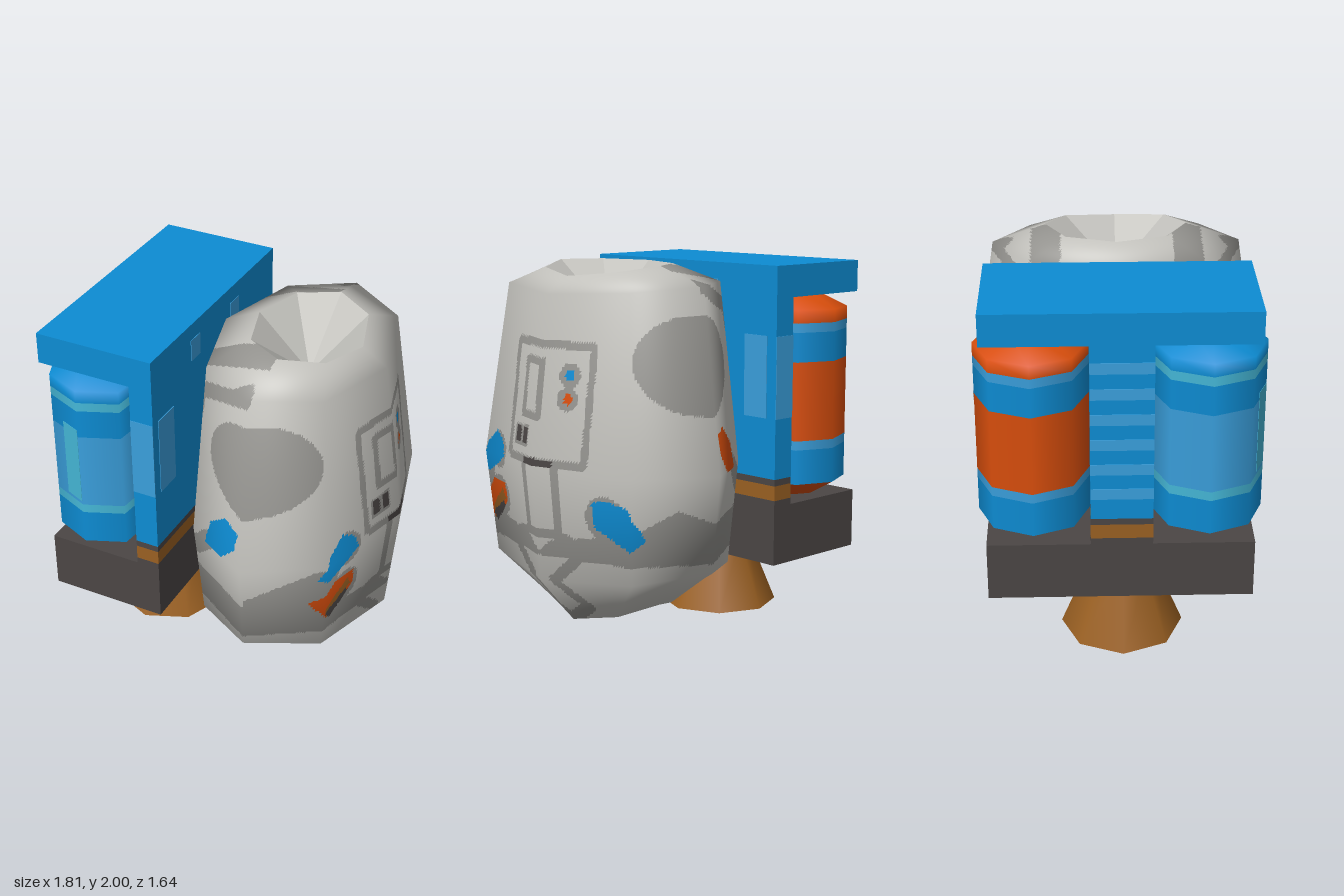
import * as THREE from 'three';

const M = {};
const colours = {
  paleGrey: 0xc2c1bc, grey: 0x94938f, blue: 0x0d8cd3, orange: 0xd94e0c, charcoal: 0x4b4645,
  brown: 0x9a6022, lightBlue: 0x3a9fdc, cyan: 0x45b8d8,
};
for (const [name, color] of Object.entries(colours)) M[name] = new THREE.MeshStandardMaterial({ color, name });
const order = Object.values(M);

function add(parent, name, geo, mat) {
  const m = new THREE.Mesh(geo, mat);
  m.name = name;
  parent.add(m);
  return m;
}
function box(parent, name, mat, x0, x1, y0, y1, z0, z1) {
  const m = add(parent, name, new THREE.BoxGeometry(x1 - x0, y1 - y0, z1 - z0), mat);
  m.position.set((x0 + x1) / 2, (y0 + y1) / 2, (z0 + z1) / 2);
  return m;
}

// Body rings: centre x, radius x, radius z, height at front, back and sides
const rings = [
  [0.34, 0.28, 0.37, 0.11, 0.11, 0.21],
  [0.345, 0.495, 0.765, 0.37, 0.37, 0.46],
  [0.35, 0.55, 0.82, 0.97, 0.97, 0.97],
  [0.32, 0.455, 0.67, 1.86, 1.91, 1.91],
  [0.35, 0.29, 0.385, 1.945, 2.0, 2.0],
];
function ringPoint(j, i) {
  const [cx, rx, rz, yf, yb, ys] = rings[j];
  const a = (i * Math.PI) / 4, c = Math.cos(a), s = Math.sin(a);
  return new THREE.Vector3(cx + rx * c, ys + ((c > 0 ? yf : yb) - ys) * c * c, rz * s);
}
function ringNormal(j, i) {
  const up = ringPoint(Math.min(j + 1, 4), i).sub(ringPoint(Math.max(j - 1, 0), i));
  return up.cross(ringPoint(j, i + 1).sub(ringPoint(j, i - 1))).normalize();
}

// Tests for painted areas: rectangle, frame, ellipse, polygon and stroke along a path
const rect = (cu, cv, w, h) => (u, v) => Math.abs(u - cu) < w && Math.abs(v - cv) < h;
const frame = (cu, cv, w, h, t) => {
  const outer = rect(cu, cv, w, h), inner = rect(cu, cv, w - t, h - t);
  return (u, v) => outer(u, v) && !inner(u, v) && Math.abs(u - cu) / w + Math.abs(v - cv) / h < 1.92;
};
const oval = (cu, cv, w, h = w) => (u, v) => Math.hypot((u - cu) / w, (v - cv) / h) < 1;
const poly = (...p) => (u, v) => {
  let hit = false;
  p.forEach(([a, b], i) => {
    const [c, d] = p[(i + 1) % p.length];
    if (b > v !== d > v && u < ((c - a) * (v - b)) / (d - b) + a) hit = !hit;
  });
  return hit;
};
const path = (r, ...p) => (u, v) => p.slice(1).some(([c, d], i) => {
  const [a, b] = p[i], du = c - a, dv = d - b;
  const t = THREE.MathUtils.clamp(((u - a) * du + (v - b) * dv) / (du * du + dv * dv), 0, 1);
  return Math.hypot(u - a - t * du, v - b - t * dv) < r;
});

// Later areas cover earlier ones; chest areas use (z, y), side areas use (x, y)
const chest = [], flanks = [];
const paintChest = (colour, ...tests) => tests.forEach((t) => chest.push([colour, t]));
const paintFlanks = (colour, ...tests) => tests.forEach((t) => flanks.push([colour, t]));

// Hip bands and belly straps
paintChest(M.grey, poly([0.83, 0.51], [0.83, 0.73], [0.6, 0.95], [0.48, 0.9], [0.5, 0.68], [0.25, 0.57], [0.24, 0.51]));
paintChest(M.grey, poly([-0.83, 0.51], [-0.83, 0.65], [-0.5, 0.66], [-0.25, 0.58], [-0.25, 0.51]));
paintChest(M.grey, path(0.025, [0.085, 0.98], [0.085, 0.63], [0.2, 0.61], [0.25, 0.53]));
paintChest(M.grey, path(0.025, [-0.135, 0.98], [-0.135, 0.63], [-0.2, 0.61], [-0.25, 0.53]));
paintChest(M.grey, path(0.025, [0.085, 0.63], [-0.135, 0.63]));
paintChest(M.grey, path(0.03, [0.25, 0.53], [0.09, 0.39], [0.05, 0.25], [-0.01, 0.14]));
paintChest(M.grey, path(0.03, [-0.25, 0.53], [-0.08, 0.38], [-0.16, 0.22], [-0.04, 0.14]));
// Control panel
paintChest(M.grey, frame(-0.022, 1.31, 0.305, 0.32, 0.04), frame(0.067, 1.38, 0.097, 0.16, 0.04));
paintChest(M.grey, oval(-0.18, 1.46, 0.062), oval(-0.18, 1.34, 0.062), rect(0.145, 1.125, 0.075, 0.055));
paintChest(M.charcoal, rect(0.175, 1.13, 0.025, 0.04), rect(0.1, 1.13, 0.023, 0.04), rect(-0.01, 1.008, 0.11, 0.017));
paintChest(M.blue, oval(-0.18, 1.46, 0.027));
paintChest(M.orange, oval(-0.18, 1.34, 0.027));
// Pouches with their grey surrounds
paintChest(M.grey, oval(0.42, 0.75, 0.11), oval(0.42, 1.0, 0.1), oval(-0.42, 0.75, 0.12));
paintChest(M.blue, poly([0.6, 0.88], [0.56, 1.02], [0.45, 1.1], [0.36, 1.05], [0.34, 0.97], [0.55, 0.86]));
paintChest(M.orange, poly([0.61, 0.72], [0.5, 0.83], [0.36, 0.83], [0.34, 0.73], [0.54, 0.6]));
paintChest(M.brown, poly([0.55, 0.66], [0.4, 0.79], [0.36, 0.74], [0.53, 0.6]));
paintChest(M.charcoal, poly([0.55, 0.63], [0.4, 0.72], [0.38, 0.69], [0.5, 0.59]));
paintChest(M.blue, poly([-0.34, 0.83], [-0.42, 0.85], [-0.55, 0.82], [-0.6, 0.65], [-0.55, 0.59], [-0.35, 0.7]));
// Flank band, back seam and round shoulder joint
paintFlanks(M.grey, poly([-0.3, 0.51], [0.86, 0.51], [0.84, 0.6], [0.52, 0.8], [0.36, 0.73], [-0.3, 0.73]));
paintFlanks(M.grey, path(0.05, [-0.2, 0.87], [-0.03, 0.86], [0.08, 0.98]));
paintFlanks(M.grey, path(0.04, [-0.11, 0.9], [-0.09, 1.4], [-0.03, 1.78], [0.3, 1.9]));
paintFlanks(M.grey, oval(0.37, 1.52, 0.3, 0.25));
const flankPouch = poly([0.06, 0.95], [0.1, 1.1], [0.22, 1.2], [0.32, 1.17], [0.3, 1.07], [0.2, 0.96]);

function paint(x, y, z) {
  let c = M.paleGrey;
  // shoulder straps over the top and down the back
  if (y > 0.9 && Math.abs(Math.abs(z) - 0.38) < 0.08 && x < (y > 1.86 ? 0.34 : 0.05)) c = M.grey;
  for (const [colour, test] of flanks) if (test(x, y)) c = colour;
  if (flankPouch(x, y)) c = z > 0 ? M.blue : M.orange;
  if (x > 0.36) for (const [colour, test] of chest) if (test(z, y)) c = colour;
  return order.indexOf(c);
}

// Eight-sided shell, finely divided so that small faces carry the painted areas
function bodyGeometry() {
  const pos = [], nor = [], faces = order.map(() => []), cols = 36, rowCounts = [16, 36, 54, 14];
  const mix = (f, j, i, u, v) =>
    f(j, i).lerp(f(j, i + 1), u).lerp(f(j + 1, i).lerp(f(j + 1, i + 1), u), v);
  for (let j = 0; j < 4; j++) for (let i = 0; i < 8; i++) {
    const base = pos.length / 3, rows = rowCounts[j];
    for (let r = 0; r <= rows; r++) for (let k = 0; k <= cols; k++) {
      pos.push(...mix(ringPoint, j, i, k / cols, r / rows));
      nor.push(...mix(ringNormal, j, i, k / cols, r / rows).normalize());
    }
    for (let r = 0; r < rows; r++) for (let k = 0; k < cols; k++) {
      const a = base + r * (cols + 1) + k, b = a + cols + 1;
      for (const t of [[a, b, a + 1], [b, b + 1, a + 1]]) {
        const [x, y, z] = [0, 1, 2].map((n) => (pos[t[0] * 3 + n] + pos[t[1] * 3 + n] + pos[t[2] * 3 + n]) / 3);
        faces[paint(x, y, z)].push(...t);
      }
    }
  }
  const g = new THREE.BufferGeometry();
  g.setAttribute('position', new THREE.Float32BufferAttribute(pos, 3));
  g.setAttribute('normal', new THREE.Float32BufferAttribute(nor, 3));
  g.setIndex(faces.flat());
  let start = 0;
  faces.forEach((f, m) => { if (f.length) g.addGroup(start, f.length, m); start += f.length; });
  return g;
}
// Flat facets from a ring to a single point
function fan(j, apex, upward) {
  const pts = [];
  for (let i = 0; i < 8; i++) {
    const e = [ringPoint(j, i), ringPoint(j, i + 1)];
    pts.push(apex, ...(upward ? e.reverse() : e));
  }
  const g = new THREE.BufferGeometry().setFromPoints(pts);
  g.computeVertexNormals();
  return g;
}

// Eight-sided tank made of coloured bands, flattened towards the pack
function tank(name, z, cap, shell, ring) {
  const g = new THREE.Group(), R = 0.29;
  g.name = name;
  const bands = [
    [cap, [0, 0.702], [0.13, 0.702], [R, 0.79]],
    [M.blue, [R, 0.79], [R, 0.98]],
    [ring, [R, 0.98], [R, 1.03]],
    [shell, [R, 1.03], [R, 1.46]],
    [M.blue, [R, 1.46], [R, 1.62]],
    [ring, [R, 1.62], [R, 1.67]],
    [cap, [R, 1.67], [R, 1.74], [0.13, 1.818], [0, 1.818]],
  ];
  for (const [mat, ...profile] of bands) {
    const geo = new THREE.LatheGeometry(profile.map(([r, y]) => new THREE.Vector2(r, y)), 8);
    const p = geo.attributes.position;
    for (let i = 0; i < p.count; i++) p.setX(i, Math.min(p.getX(i), 0.225));
    add(g, 'tankBand', geo, mat);
  }
  g.position.set(-0.62, 0, z);
  return g;
}

export function createModel() {
  const model = new THREE.Group();

  // Body shell with neck hollow and underside
  const body = new THREE.Group();
  body.name = 'body';
  model.add(body);
  add(body, 'bodyShell', bodyGeometry(), order);
  add(body, 'neckHollow', fan(4, new THREE.Vector3(0.35, 1.72, 0), true), M.paleGrey);
  add(body, 'underside', fan(0, new THREE.Vector3(0.34, 0.12, 0), false), M.paleGrey);

  // Pack: lid, base, spine and divider
  const pack = new THREE.Group();
  pack.name = 'pack';
  model.add(pack);
  box(pack, 'lid', M.blue, -0.86, -0.2, 1.82, 1.99, -0.695, 0.685);
  box(pack, 'base', M.charcoal, -0.86, -0.2, 0.385, 0.705, -0.695, 0.685);
  const layers = [[M.charcoal, 0.705, 0.74], [M.brown, 0.74, 0.82], [M.charcoal, 0.82, 0.855], [M.blue, 0.855, 1.82]];
  for (const [mat, y0, y1] of layers) {
    box(pack, 'spine', mat, -0.33, -0.2, y0, y1, -0.695, 0.685);
    box(pack, 'divider', mat, -0.86, -0.33, y0, y1, -0.16, 0.16);
  }
  for (let y = 0.97; y < 1.7; y += 0.14) box(pack, 'dividerStripe', M.lightBlue, -0.864, -0.858, y, y + 0.06, -0.16, 0.16);
  for (const z of [0.683, -0.698]) box(pack, 'spinePanel', M.lightBlue, -0.33, -0.2, 1.18, 1.62, z, z + 0.005);
  for (const z of [-0.55, 0.55]) {
    box(pack, 'spinePatch', M.lightBlue, -0.202, -0.197, 1.18, 1.62, z - 0.08, z + 0.08);
    box(pack, 'lidPatch', M.lightBlue, -0.202, -0.197, 1.78, 1.9, z * 0.4 - 0.05, z * 0.4 + 0.05);
  }

  // Tanks, one with an upright stripe
  pack.add(tank('blueTank', 0.445, M.blue, M.lightBlue, M.cyan));
  pack.add(tank('orangeTank', -0.45, M.orange, M.orange, M.lightBlue));
  const stripe = box(pack, 'tankStripe', M.cyan, -0.74, -0.62, 1.05, 1.5, 0.706, 0.712);
  stripe.rotation.y = -Math.PI / 8;

  // Nozzle
  const nozzle = add(pack, 'nozzle', new THREE.CylinderGeometry(0.17, 0.33, 0.39, 8), M.brown);
  nozzle.position.set(-0.51, 0.195, 0.01);
  return model;
}
